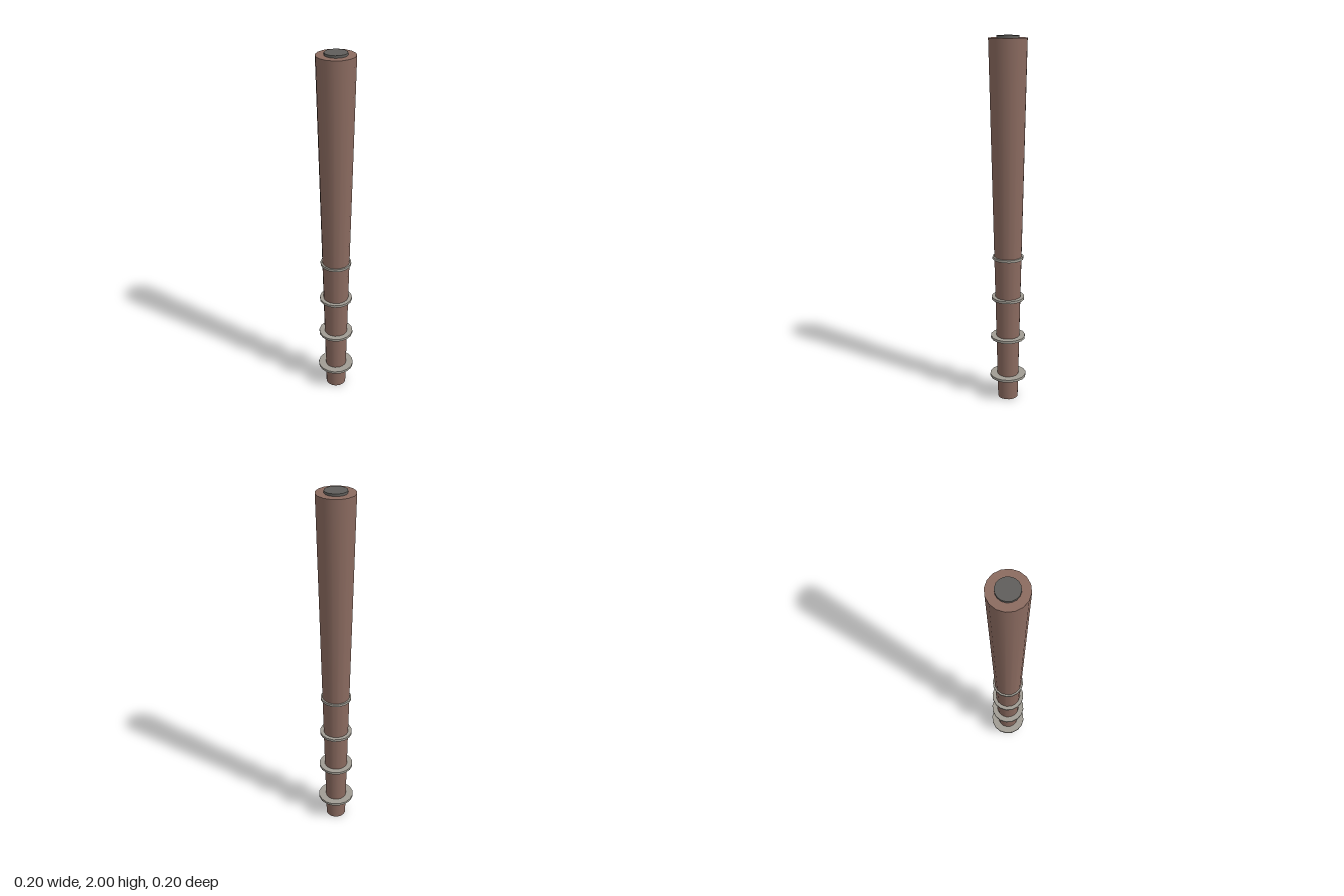
import * as THREE from 'three';

const SIDES = 16;

function material(name, color) {
  const m = new THREE.MeshStandardMaterial({ color });
  m.name = name;
  return m;
}

export function createModel() {
  const wood = material('brown wood', 0x8b6b60);
  const steel = material('pale metal', 0xa19d94);
  const dark = material('dark metal', 0x605e5b);
  const group = new THREE.Group();
  group.name = 'taperedStaff';

  // Upright cylinder between two heights
  function column(name, mat, rTop, rBottom, y0, y1) {
    const mesh = new THREE.Mesh(new THREE.CylinderGeometry(rTop, rBottom, y1 - y0, SIDES), mat);
    mesh.name = name;
    mesh.position.y = (y0 + y1) / 2;
    group.add(mesh);
  }

  // Shaft widens toward the top, closed by a small inset disc
  column('shaft', wood, 0.1, 0.056, 0, 1.988);
  column('topDisc', dark, 0.058, 0.058, 1.98, 2);

  // Four flat collars, narrower as they climb
  const collars = [[0.135, 0.1], [0.368, 0.095], [0.6, 0.09], [0.832, 0.084]];
  collars.forEach(([y, r], i) => column(`collar${i + 1}`, steel, r, r, y - 0.007, y + 0.007));

  return group;
}
